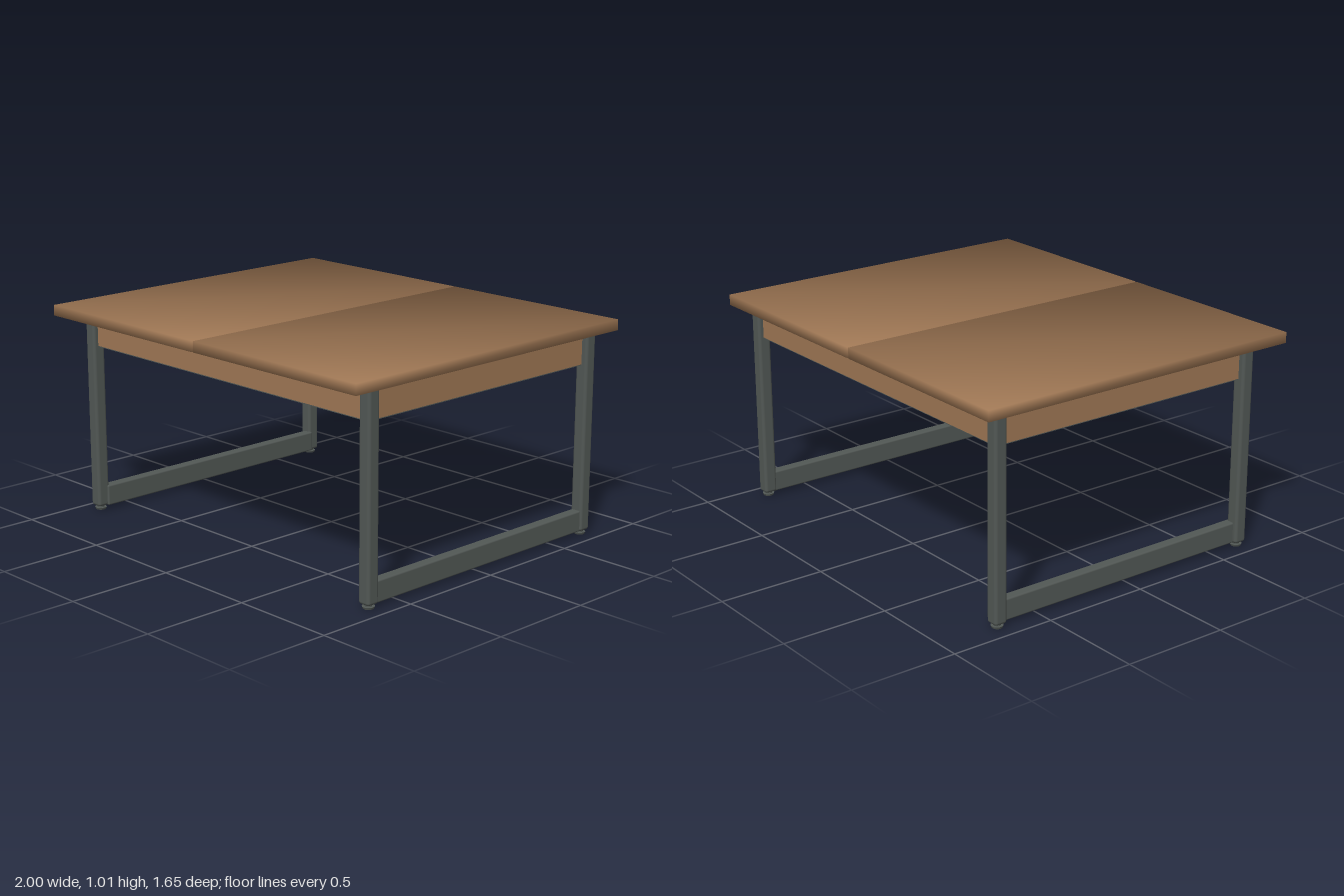
import * as THREE from 'three';
import { RoundedBoxGeometry } from 'three/addons/geometries/RoundedBoxGeometry.js';

const wood = new THREE.MeshStandardMaterial({ color: 0xa07855 });
wood.name = 'wood';
const metal = new THREE.MeshStandardMaterial({ color: 0x525855 });
metal.name = 'darkMetal';

const LEG_X = 0.91, FRONT_Z = 0.66, BACK_Z = -0.715;

export function createModel() {
  const table = new THREE.Group();
  table.name = 'table';

  function add(name, geometry, material, x, y, z) {
    const mesh = new THREE.Mesh(geometry, material);
    mesh.name = name;
    mesh.position.set(x, y, z);
    table.add(mesh);
    return mesh;
  }

  // box whose corner normals are shared, so shading rolls over the edges
  function softBox(w, h, d) {
    const geometry = new THREE.BoxGeometry(w, h, d);
    const p = geometry.attributes.position, n = geometry.attributes.normal;
    const v = new THREE.Vector3();
    for (let i = 0; i < p.count; i++) {
      v.set(Math.sign(p.getX(i)), Math.sign(p.getY(i)), Math.sign(p.getZ(i))).normalize();
      n.setXYZ(i, v.x, v.y, v.z);
    }
    return geometry;
  }

  // two top panels with a narrow seam between them
  for (const s of [-1, 1]) {
    add(s > 0 ? 'leftTopPanel' : 'rightTopPanel', softBox(0.996, 0.05, 1.65), wood, s * 0.502, 0.985, 0);
  }

  // apron boards, each with a thin metal strip along its lower edge
  function apron(name, w, d, x, z) {
    add(name, new THREE.BoxGeometry(w, 0.15, d), wood, x, 0.885, z);
    add(name + 'Strip', new THREE.BoxGeometry(w - 0.006, 0.005, d - 0.006), metal, x, 0.8075, z);
  }
  apron('frontApron', 1.76, 0.035, 0, 0.65);
  apron('backApron', 1.76, 0.035, 0, -0.705);
  for (const s of [-1, 1]) {
    apron(s > 0 ? 'leftApron' : 'rightApron', 0.035, 1.32, s * 0.895, -0.0275);
  }

  // legs with small levelling feet
  for (const s of [-1, 1]) {
    for (const z of [FRONT_Z, BACK_Z]) {
      const side = (z > 0 ? 'front' : 'back') + (s > 0 ? 'Left' : 'Right');
      add(side + 'Leg', new RoundedBoxGeometry(0.063, 0.94, 0.063, 3, 0.014), metal, s * LEG_X, 0.49, z);
      add(side + 'Foot', new THREE.CylinderGeometry(0.016, 0.016, 0.02, 16), metal, s * LEG_X, 0.015, z);
      add(side + 'FootPad', new THREE.CylinderGeometry(0.028, 0.024, 0.01, 16), metal, s * LEG_X, 0.006, z);
    }
    // floor rail joining the legs of each side
    add(s > 0 ? 'leftRail' : 'rightRail', new RoundedBoxGeometry(0.05, 0.1, 1.34, 2, 0.008), metal,
      s > 0 ? 0.908 : -0.895, 0.07, (FRONT_Z + BACK_Z) / 2);
  }

  return table;
}
